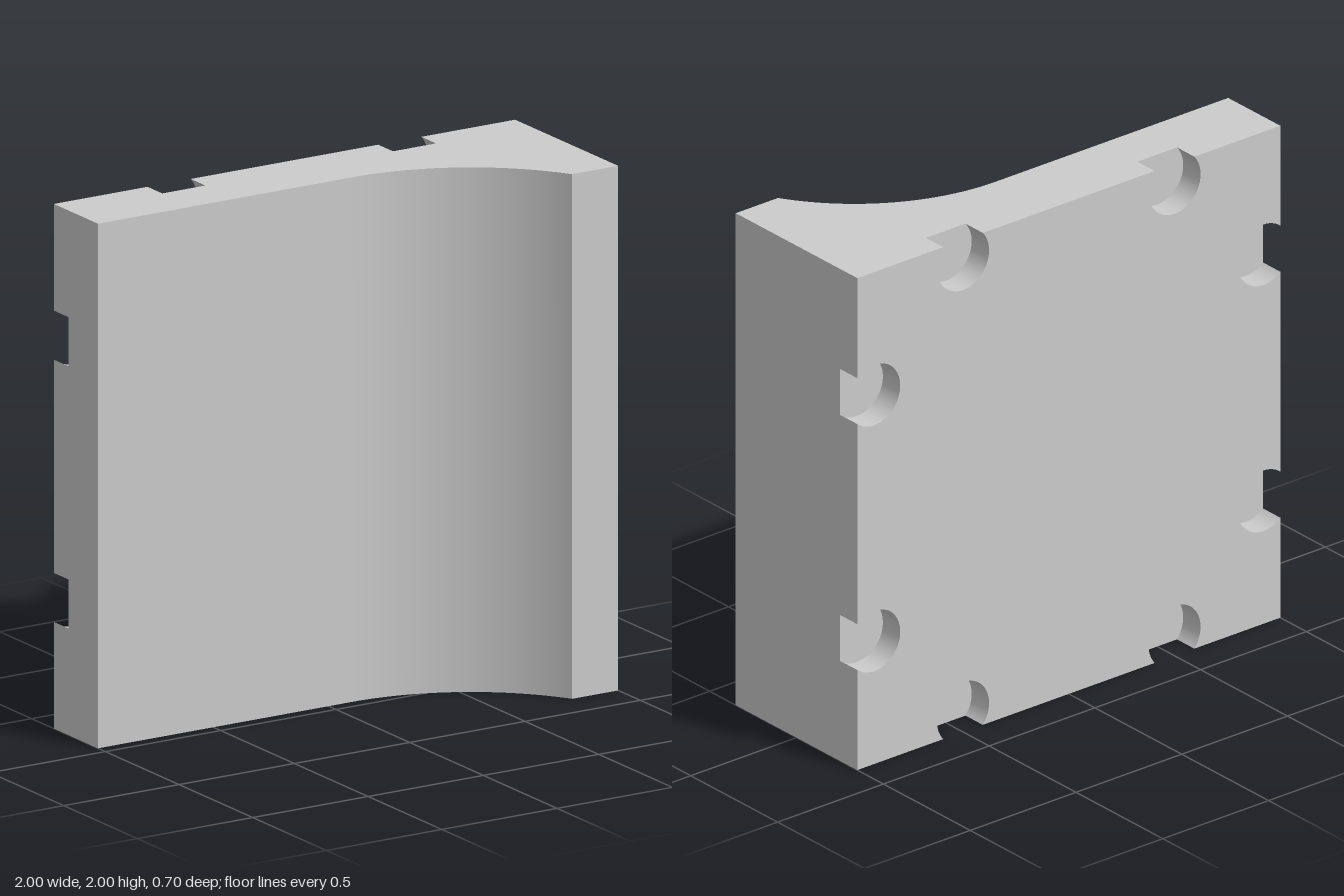
import * as THREE from 'three';
import { toCreasedNormals } from 'three/addons/utils/BufferGeometryUtils.js';

const BACK = -0.35, FLOOR = -0.25, PANEL = -0.05, FRONT = 0.35;

// Plan outline (shape y = -z): flat panel sweeping through a cove into a thick lip
function coveProfile() {
  const start = 0.1, lip = 0.8, rise = FRONT - PANEL, run = lip - start;
  const r = (run * run + rise * rise) / (2 * rise);
  const s = new THREE.Shape();
  s.moveTo(-1, -FLOOR);
  s.lineTo(-1, -PANEL);
  s.lineTo(start, -PANEL);
  s.absarc(start, -PANEL - r, r, Math.PI / 2, Math.atan2(r - rise, run), true);
  s.lineTo(1, -FRONT);
  s.lineTo(1, -FLOOR);
  s.closePath();
  return s;
}

// Square outline with two round pockets breaking through each side
function notchedSquare() {
  const r = 0.123, inset = 0.08, half = Math.sqrt(r * r - inset * inset);
  const s = new THREE.Shape();
  s.moveTo(-1, -1);
  for (let side = 0; side < 4; side++) {
    const turn = side * Math.PI / 2;
    const at = (x, y) => new THREE.Vector2(x, y).rotateAround(new THREE.Vector2(), turn);
    for (const x of [-0.5, 0.5]) {
      const p = at(x - half, -1), c = at(x, -1 + inset);
      s.lineTo(p.x, p.y);
      s.absarc(c.x, c.y, r, Math.atan2(-inset, -half) + turn, Math.atan2(-inset, half) + turn, true);
    }
    const corner = at(1, -1);
    s.lineTo(corner.x, corner.y);
  }
  return s;
}

export function createModel() {
  const group = new THREE.Group();
  group.name = 'covedPanel';
  const material = new THREE.MeshStandardMaterial({ color: 0xcccccc });
  const add = (name, geometry) => {
    const mesh = new THREE.Mesh(toCreasedNormals(geometry, 0.5), material);
    mesh.name = name;
    group.add(mesh);
  };

  // Coved body, extruded upwards; its back plane is the floor of the pockets
  const body = new THREE.ExtrudeGeometry(coveProfile(), { depth: 2, bevelEnabled: false, curveSegments: 40 });
  body.rotateX(-Math.PI / 2);
  add('covedBody', body);

  // Back layer with the edge pockets
  const layer = new THREE.ExtrudeGeometry(notchedSquare(), { depth: FLOOR - BACK, bevelEnabled: false, curveSegments: 32 });
  layer.translate(0, 1, BACK);
  add('pocketedBack', layer);

  return group;
}
